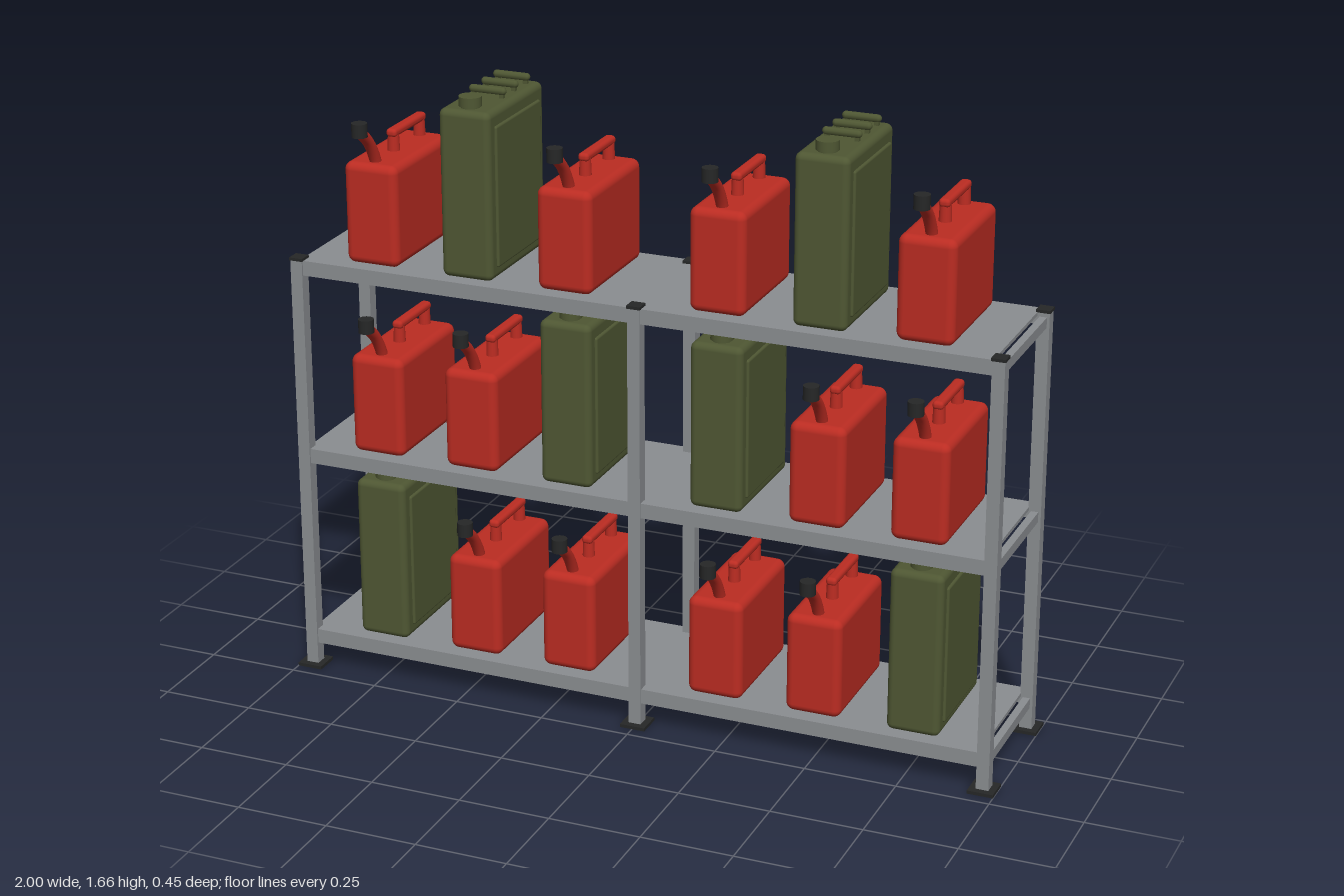
import * as THREE from 'three';
import { RoundedBoxGeometry } from 'three/addons/geometries/RoundedBoxGeometry.js';

const material = (name, color) => {
  const m = new THREE.MeshStandardMaterial({ color });
  m.name = name;
  return m;
};

export function createModel() {
  const steel = material('grey steel', 0x8b8e91);
  const black = material('black plastic', 0x262727);
  const red = material('red plastic', 0xbb2c22);
  const green = material('olive paint', 0x4f5733);

  const add = (parent, name, geometry, mat, x = 0, y = 0, z = 0) => {
    const mesh = new THREE.Mesh(geometry, mat);
    mesh.name = name;
    mesh.position.set(x, y, z);
    parent.add(mesh);
    return mesh;
  };
  const box = (w, h, d) => new THREE.BoxGeometry(w, h, d);

  const model = new THREE.Group();
  model.name = 'shelfWithFuelCans';

  // Posts with foot plates and end caps
  const rack = new THREE.Group();
  rack.name = 'rack';
  model.add(rack);
  const postX = [-0.965, 0, 0.965];
  const frontZ = 0.183, backZ = -0.192, midZ = -0.005;
  for (const x of postX) {
    for (const z of [frontZ, backZ]) {
      add(rack, 'post', box(0.034, 1.172, 0.034), steel, x, 0.594, z);
      add(rack, 'foot', box(0.07, 0.009, 0.07), black, x, 0.0045, z);
      add(rack, 'postCap', box(0.038, 0.008, 0.038), black, x, 1.183, z);
    }
  }

  // Shelves: thin panel, long beams, cross rails
  const shelfTops = [0.11, 0.645, 1.18];
  for (const top of shelfTops) {
    add(rack, 'shelfPanel', box(1.9, 0.01, 0.394), steel, 0, top - 0.005, midZ - 0.002);
    for (const z of [0.189, -0.203]) {
      add(rack, 'shelfBeam', box(1.9, 0.041, 0.012), steel, 0, top - 0.0205, z);
    }
    for (const x of postX) {
      add(rack, 'crossRail', box(0.02, 0.028, 0.35), steel, x, top - 0.026, midZ);
    }
  }

  // Shared can geometries
  const redBody = new RoundedBoxGeometry(0.152, 0.277, 0.337, 4, 0.022);
  const greenBody = new RoundedBoxGeometry(0.144, 0.453, 0.337, 4, 0.018);
  const sidePanel = new RoundedBoxGeometry(0.02, 0.38, 0.27, 2, 0.006);
  const grip = new RoundedBoxGeometry(0.03, 0.023, 0.185, 3, 0.01);
  const gripLeg = new THREE.CylinderGeometry(0.015, 0.017, 0.05, 14);
  const spout = new THREE.TubeGeometry(new THREE.CatmullRomCurve3([
    new THREE.Vector3(0, 0.25, 0.116),
    new THREE.Vector3(0, 0.285, 0.126),
    new THREE.Vector3(0, 0.335, 0.157),
    new THREE.Vector3(0, 0.378, 0.204),
  ]), 14, 0.0155, 12);
  const spoutCap = new THREE.CylinderGeometry(0.021, 0.021, 0.037, 16);
  const bar = new THREE.CapsuleGeometry(0.0105, 0.084, 4, 10).rotateZ(Math.PI / 2);
  const barLeg = box(0.012, 0.022, 0.012);
  const fillerCap = new THREE.CylinderGeometry(0.03, 0.03, 0.026, 20);
  const fillerNeck = new THREE.CylinderGeometry(0.025, 0.025, 0.02, 20);

  // Red can with grip and bent spout
  const redCan = () => {
    const can = new THREE.Group();
    can.name = 'redCan';
    add(can, 'canBody', redBody, red, 0, 0.1385, midZ);
    add(can, 'grip', grip, red, 0, 0.326, -0.057);
    for (const z of [0.018, -0.132]) add(can, 'gripLeg', gripLeg, red, 0, 0.296, z);
    add(can, 'spout', spout, red);
    add(can, 'spoutCap', spoutCap, black, 0, 0.384, 0.206);
    return can;
  };

  // Tall olive can with three carrying bars and a round filler cap
  const greenCan = () => {
    const can = new THREE.Group();
    can.name = 'oliveCan';
    add(can, 'canBody', greenBody, green, 0, 0.2265, midZ);
    for (const s of [-1, 1]) add(can, 'sidePanel', sidePanel, green, s * 0.0685, 0.222, midZ);
    for (const z of [0.014, -0.059, -0.131]) {
      add(can, 'carryBar', bar, green, 0, 0.471, z);
      for (const s of [-1, 1]) add(can, 'barLeg', barLeg, green, s * 0.04, 0.458, z);
    }
    add(can, 'fillerNeck', fillerNeck, green, 0, 0.455, 0.118);
    add(can, 'fillerCap', fillerCap, green, 0, 0.47, 0.118);
    return can;
  };

  // Cans mirrored about the middle post; one olive can per half shelf
  const columns = [0.76, 0.485, 0.21];
  shelfTops.forEach((top, row) => {
    columns.forEach((x, col) => {
      const oliveCol = [0, 2, 1][row];
      for (const s of [-1, 1]) {
        const can = col === oliveCol ? greenCan() : redCan();
        can.position.set(s * x, top, 0);
        model.add(can);
      }
    });
  });

  return model;
}
